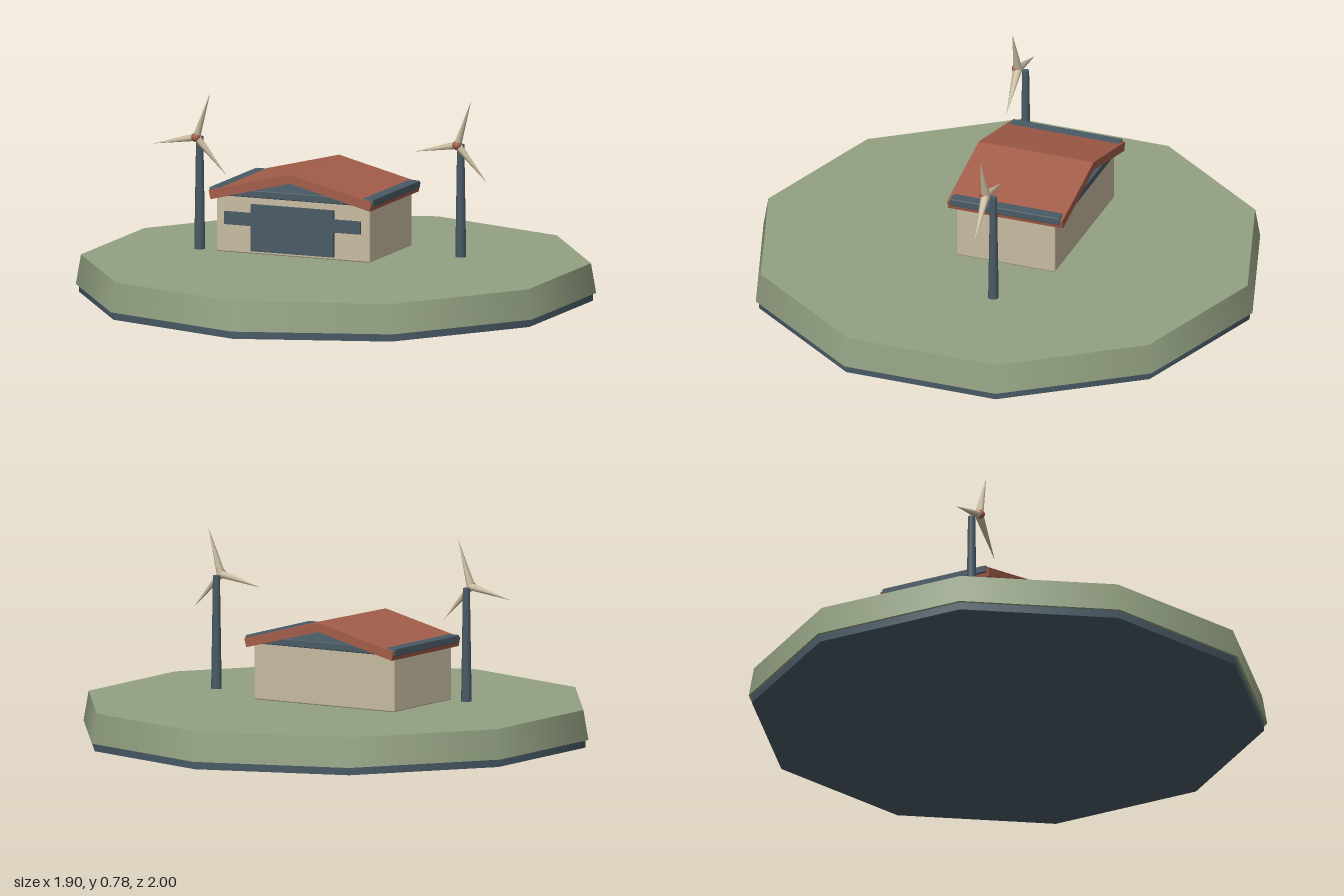
import * as THREE from 'three';
import { RoundedBoxGeometry } from 'three/addons/geometries/RoundedBoxGeometry.js';

const material = (name, color) => {
  const m = new THREE.MeshStandardMaterial({ color });
  m.name = name;
  return m;
};

export function createModel() {
  const grass = material('grass green', 0x93a182);
  const slate = material('slate', 0x495a66);
  const cream = material('cream', 0xc8bba0);
  const brick = material('brick red', 0xa35d49);

  const model = new THREE.Group();
  model.name = 'barnWithWindTurbines';

  const add = (parent, name, geometry, mat, x = 0, y = 0, z = 0) => {
    const mesh = new THREE.Mesh(geometry, mat);
    mesh.name = name;
    mesh.position.set(x, y, z);
    parent.add(mesh);
    return mesh;
  };

  // Ten-sided island on a thin plinth
  add(model, 'plinth', new THREE.CylinderGeometry(0.988, 0.988, 0.03, 10), slate, 0, 0.015, 0);
  add(model, 'ground', new THREE.CylinderGeometry(0.98, 1, 0.115, 10), grass, 0, 0.0875, 0);

  // Barn, with its own origin at the middle of the floor
  const barn = new THREE.Group();
  barn.name = 'barn';
  barn.position.set(-0.12, 0.166, -0.066);
  model.add(barn);
  add(barn, 'walls', new RoundedBoxGeometry(0.64, 0.224, 0.404, 2, 0.006), cream, 0, 0.112, 0);
  add(barn, 'ceilingSlab', new RoundedBoxGeometry(0.685, 0.029, 0.45, 2, 0.004), slate, 0, 0.236, -0.004);
  add(barn, 'door', new THREE.BoxGeometry(0.344, 0.182, 0.014), slate, 0, 0.103, 0.207);
  add(barn, 'doorRail', new THREE.BoxGeometry(0.568, 0.05, 0.012), slate, 0, 0.134, 0.206);

  // Open gable roof: a chevron extruded along z
  const chevron = new THREE.Shape([
    [-0.34, 0.24], [-0.332, 0.205], [0, 0.29], [0.332, 0.205], [0.34, 0.24], [0, 0.324],
  ].map(([x, y]) => new THREE.Vector2(x, y)));
  const roof = new THREE.ExtrudeGeometry(chevron, { depth: 0.47, bevelEnabled: false });
  add(barn, 'roof', roof, brick, 0, 0, -0.239);

  // Three-bladed wind turbine
  const addTurbine = (name, x, z) => {
    const turbine = new THREE.Group();
    turbine.name = name;
    turbine.position.set(x, 0.168, z);
    model.add(turbine);
    add(turbine, 'tower', new THREE.CylinderGeometry(0.014, 0.021, 0.437, 10), slate, 0, 0.2185, 0);

    const rotor = new THREE.Group();
    rotor.name = 'rotor';
    rotor.position.set(0, 0.439, 0.032);
    turbine.add(rotor);
    add(rotor, 'hub', new THREE.SphereGeometry(0.018, 12, 8), brick, 0, 0, 0.006);
    const bladeShape = new THREE.ConeGeometry(0.019, 0.187, 8);
    bladeShape.translate(0, 0.0935, 0).scale(0.8, 1, 1);
    for (let i = 0; i < 3; i++) {
      add(rotor, 'blade', bladeShape, cream).rotation.z = -0.315 + i * Math.PI * 2 / 3;
    }
  };
  addTurbine('rightTurbine', -0.515, 0.123);
  addTurbine('leftTurbine', 0.469, -0.118);

  return model;
}
